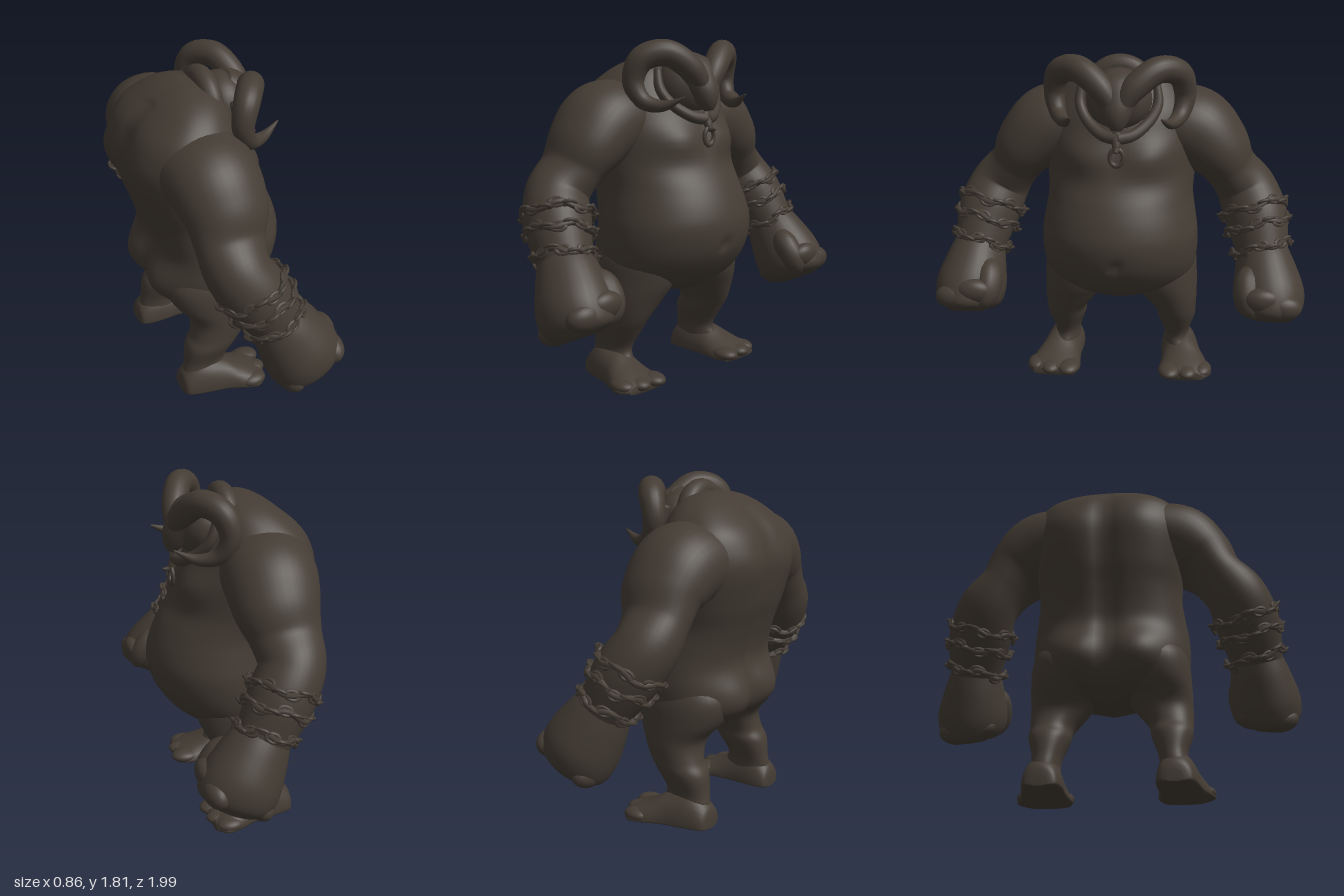
import * as THREE from 'three';
import { mergeGeometries } from 'three/addons/utils/BufferGeometryUtils.js';

const V = (x, y, z) => new THREE.Vector3(x, y, z);

// Smoothly interpolate rows of numbers, column by column
function smoothRows(rows, steps) {
  const out = [];
  const last = rows.length - 1;
  for (let i = 0; i <= last * steps; i++) {
    const k = Math.min(Math.floor(i / steps), last - 1), t = i / steps - k;
    const p = [rows[Math.max(k - 1, 0)], rows[k], rows[k + 1], rows[Math.min(k + 2, last)]];
    out.push(rows[k].map((_, c) => {
      const [a, b, d, e] = p.map(r => r[c]);
      return b + 0.5 * t * (d - a + t * (2 * a - 5 * b + 4 * d - e + t * (3 * (b - d) + e - a)));
    }));
  }
  return out;
}

// Skin closed rings of points, with a cap at each end
function loft(rings) {
  const n = rings[0].length, m = rings.length, pos = [], idx = [];
  rings.forEach(r => r.forEach(p => pos.push(p.x, p.y, p.z)));
  for (const r of [rings[0], rings[m - 1]]) {
    const c = r.reduce((s, p) => s.add(p), V(0, 0, 0)).divideScalar(n);
    pos.push(c.x, c.y, c.z);
  }
  for (let i = 0; i < n; i++) {
    const i2 = (i + 1) % n;
    for (let j = 0; j < m - 1; j++) {
      const a = j * n + i, b = j * n + i2;
      idx.push(a, a + n, b, b, a + n, b + n);
    }
    idx.push(m * n, i, i2, m * n + 1, (m - 1) * n + i2, (m - 1) * n + i);
  }
  const g = new THREE.BufferGeometry();
  g.setAttribute('position', new THREE.Float32BufferAttribute(pos, 3));
  g.setIndex(idx);
  g.computeVertexNormals();
  return g;
}

const around = (n, f) => Array.from({ length: n }, (_, i) => f(i / n * Math.PI * 2));

// Limb along a path; rows are [x, y, z, forward radius, side radius]
function sweep(rows, steps = 6, seg = 28) {
  const r = smoothRows(rows, steps);
  let U = V(1, 0, 0);
  return loft(r.map((q, j) => {
    const a = r[Math.max(j - 1, 0)], b = r[Math.min(j + 1, r.length - 1)];
    const T = V(b[0] - a[0], b[1] - a[1], b[2] - a[2]).normalize();
    U = U.clone().addScaledVector(T, -U.dot(T)).normalize();
    const W = U.clone().cross(T);
    return around(seg, t => V(q[0], q[1], q[2])
      .addScaledVector(U, q[3] * Math.cos(t)).addScaledVector(W, (q[4] ?? q[3]) * Math.sin(t)));
  }));
}

// Upright body; rows are [y, back x, front x, centre z, half width]
function stack(rows, boxy, rule = p => p, seg = 40) {
  return loft(smoothRows(rows, 5).map(([y, back, front, z, w]) => around(seg, t => {
    const c = Math.cos(t), s = Math.sin(t), mid = (back + front) / 2 - 0.02;
    const e = c < 0 ? boxy : 1;
    const x = c < 0 ? mid - (mid - back) * Math.pow(-c, e) : mid + (front - mid) * c;
    return rule(V(x, y, z + w * Math.sign(s) * Math.pow(Math.abs(s), e)), c);
  })));
}

function ball(x, y, z, rx, ry, rz, tilt = 0) {
  return new THREE.SphereGeometry(1, 28, 18).scale(rx, ry, rz).rotateZ(tilt).translate(x, y, z);
}

function mirrored(geo) {
  const g = geo.clone().scale(1, 1, -1), a = g.index.array;
  for (let i = 0; i < a.length; i += 3) [a[i], a[i + 1]] = [a[i + 1], a[i]];
  return g;
}

export function createModel() {
  const group = new THREE.Group();
  const hide = new THREE.MeshStandardMaterial({ color: 0x443c34 });
  hide.name = 'dark brown hide';
  const add = (name, geo) => {
    const mesh = new THREE.Mesh(geo, hide);
    mesh.name = name;
    group.add(mesh);
  };
  const pair = (name, geo) => {
    add(name + 'A', geo);
    add(name + 'B', mirrored(geo));
  };

  // Torso: spine groove, shoulder blades and buttocks behind; navel and chest in front
  const bump = (p, z, y, rz, ry) => Math.exp(-(((Math.abs(p.z) - z) / rz) ** 2) - ((p.y - y) / ry) ** 2);
  add('torso', stack([
    [0.47, -0.1, 0.12, 0, 0.06], [0.51, -0.21, 0.2, 0, 0.24], [0.56, -0.27, 0.28, 0, 0.34],
    [0.63, -0.305, 0.345, 0, 0.4], [0.73, -0.315, 0.405, 0, 0.42], [0.85, -0.3, 0.428, 0, 0.42],
    [0.95, -0.32, 0.41, 0, 0.405], [1.06, -0.355, 0.362, 0, 0.39], [1.18, -0.395, 0.29, 0, 0.4],
    [1.36, -0.425, 0.23, 0, 0.42], [1.48, -0.405, 0.19, 0, 0.41], [1.57, -0.36, 0.14, 0, 0.37],
    [1.65, -0.27, 0.1, 0, 0.29], [1.7, -0.19, 0.06, 0, 0.2], [1.725, -0.12, 0.02, 0, 0.1], [1.73, -0.08, -0.02, 0, 0.03],
  ], 0.75, (p, c) => {
    if (c < 0) {
      if (p.y < 1.66) p.x += 0.035 * bump(p, 0, 1.1, 0.05, 0.6);
      p.x -= -c * (0.02 * bump(p, 0.2, 1.4, 0.12, 0.15) + 0.06 * bump(p, 0.18, 0.66, 0.15, 0.13));
    } else {
      p.x -= 0.025 * bump(p, 0, 0.76, 0.025, 0.03);
      p.x += c * 0.05 * bump(p, 0.19, 1.3, 0.15, 0.09);
    }
    return p;
  }, 88));

  // Arms
  pair('arm', sweep([
    [-0.13, 1.42, 0.2, 0.24, 0.18], [-0.11, 1.385, 0.38, 0.24, 0.215], [-0.1, 1.28, 0.51, 0.22, 0.182],
    [-0.115, 1.16, 0.592, 0.183, 0.142], [-0.115, 1.04, 0.68, 0.165, 0.162], [-0.04, 0.91, 0.735, 0.168, 0.17],
    [0.05, 0.76, 0.77, 0.145, 0.142], [0.09, 0.69, 0.785, 0.13, 0.13],
  ], 7, 36));

  // Fists: palm, four curled fingers and a thumb
  pair('hand', sweep([
    [0.05, 0.76, 0.77, 0.135, 0.13], [0.1, 0.68, 0.785, 0.168, 0.158], [0.17, 0.56, 0.805, 0.2, 0.188],
    [0.212, 0.48, 0.82, 0.203, 0.178], [0.235, 0.435, 0.825, 0.185, 0.14], [0.247, 0.41, 0.825, 0.12, 0.08],
  ], 6, 32));
  const fingers = [];
  for (let i = 0; i < 4; i++) {
    const k = -0.12 + i * 0.083;
    const x = 0.215 + 0.87 * k, y = 0.475 + 0.46 * k;
    fingers.push(ball(x, y, 0.865, 0.066, 0.074, 0.105, -0.5));
    fingers.push(ball(x + 0.005, y + 0.035, 0.76, 0.062, 0.08, 0.105, -0.5));
  }
  pair('fingers', mergeGeometries(fingers));
  pair('thumb', sweep([
    [0.2, 0.69, 0.72, 0.045], [0.25, 0.645, 0.69, 0.07], [0.305, 0.58, 0.688, 0.068],
    [0.325, 0.52, 0.705, 0.055], [0.325, 0.47, 0.73, 0.02],
  ], 5, 16));

  // Chain bracelets: a wavy cord with links around each forearm
  const axis = V(0.13, -0.29, 0.09).normalize();
  const turn = new THREE.Quaternion().setFromUnitVectors(V(0, 0, 1), axis);
  [[-0.055, 0.945, 0.72, 0.178], [-0.01, 0.86, 0.745, 0.172], [0.05, 0.755, 0.767, 0.156]].forEach(([x, y, z, r], b) => {
    const wave = t => V(r * Math.cos(t), r * Math.sin(t), 0.014 * Math.sin(5 * t + b * 2));
    const cord = new THREE.CatmullRomCurve3(around(40, wave), true);
    const parts = [new THREE.TubeGeometry(cord, 80, 0.016, 6, true)];
    for (let i = 0; i < 18; i++) {
      const t = i / 18 * Math.PI * 2, p = wave(t);
      parts.push(new THREE.TorusGeometry(0.021, 0.009, 6, 12).scale(1, 1.5, 1)
        .rotateY(i % 2 ? Math.PI / 2 : 0.35).rotateZ(t).translate(p.x, p.y, p.z));
    }
    pair('chainBracelet' + b, mergeGeometries(parts).applyQuaternion(turn).translate(x, y, z));
  });

  // Legs
  pair('leg', stack([
    [0.06, -0.245, 0.05, 0.335, 0.09], [0.12, -0.245, 0.03, 0.325, 0.075], [0.18, -0.235, 0.015, 0.318, 0.075],
    [0.28, -0.222, 0.075, 0.315, 0.106], [0.35, -0.185, 0.12, 0.31, 0.114], [0.45, -0.18, 0.17, 0.275, 0.152],
    [0.56, -0.27, 0.22, 0.235, 0.19], [0.68, -0.3, 0.23, 0.22, 0.195], [0.78, -0.24, 0.15, 0.2, 0.17],
    [0.86, -0.16, 0.08, 0.19, 0.09],
  ], 0.9));

  // Flat-soled feet with toes; rows are [x, centre z, half width, height]
  pair('foot', loft(smoothRows([
    [-0.268, 0.33, 0.04, 0.06], [-0.25, 0.33, 0.085, 0.12], [-0.16, 0.335, 0.105, 0.18],
    [-0.03, 0.35, 0.115, 0.16], [0.06, 0.365, 0.135, 0.115], [0.14, 0.372, 0.148, 0.08], [0.2, 0.36, 0.115, 0.055],
  ], 5).map(([x, z, w, h]) => around(28, t => {
    const c = Math.cos(t);
    return V(x, c > 0 ? 0.02 + (h - 0.02) * c : 0.02 * (1 - Math.sqrt(-c)), z - w * Math.sin(t));
  }))));
  pair('toes', mergeGeometries([
    ball(0.155, 0.038, 0.285, 0.083, 0.036, 0.063), ball(0.15, 0.037, 0.385, 0.08, 0.035, 0.058),
    ball(0.12, 0.037, 0.465, 0.075, 0.035, 0.056),
  ]));

  // Head with a raised ruff behind it, muzzle and jaw
  add('neckRuff', new THREE.TorusGeometry(0.14, 0.055, 16, 48).rotateY(Math.PI / 2).translate(0.015, 1.595, 0));
  add('head', ball(0.12, 1.575, 0, 0.14, 0.165, 0.17));
  add('muzzle', sweep([
    [0.12, 1.7, 0, 0.06, 0.08], [0.19, 1.64, 0, 0.09, 0.13], [0.25, 1.56, 0, 0.075, 0.09],
    [0.275, 1.49, 0, 0.055, 0.055], [0.285, 1.45, 0, 0.025, 0.025],
  ], 5, 24));
  pair('jaw', sweep([
    [0.1, 1.66, 0.19, 0.02], [0.13, 1.56, 0.2, 0.027], [0.18, 1.48, 0.16, 0.028],
    [0.24, 1.42, 0.08, 0.03], [0.265, 1.405, 0, 0.032],
  ], 5, 14));

  // Curled horns
  pair('horn', sweep([
    [0.265, 1.56, 0.015, 0.045], [0.242, 1.66, 0.085, 0.065], [0.185, 1.74, 0.2, 0.068], [0.11, 1.71, 0.305, 0.066],
    [0.078, 1.6, 0.336, 0.056], [0.125, 1.505, 0.315, 0.044], [0.225, 1.48, 0.27, 0.029], [0.335, 1.525, 0.225, 0.004],
  ], 8, 20));

  // Chin tuft with hanging ring
  add('chinTuft', sweep([
    [0.25, 1.43, 0, 0.03], [0.275, 1.39, 0, 0.024], [0.295, 1.355, 0, 0.018], [0.335, 1.355, 0, 0.006],
  ], 5, 14));
  add('chinRing', new THREE.TorusGeometry(0.034, 0.011, 8, 24).scale(1, 1.3, 1)
    .rotateY(Math.PI / 2).translate(0.288, 1.315, 0));

  return group;
}
